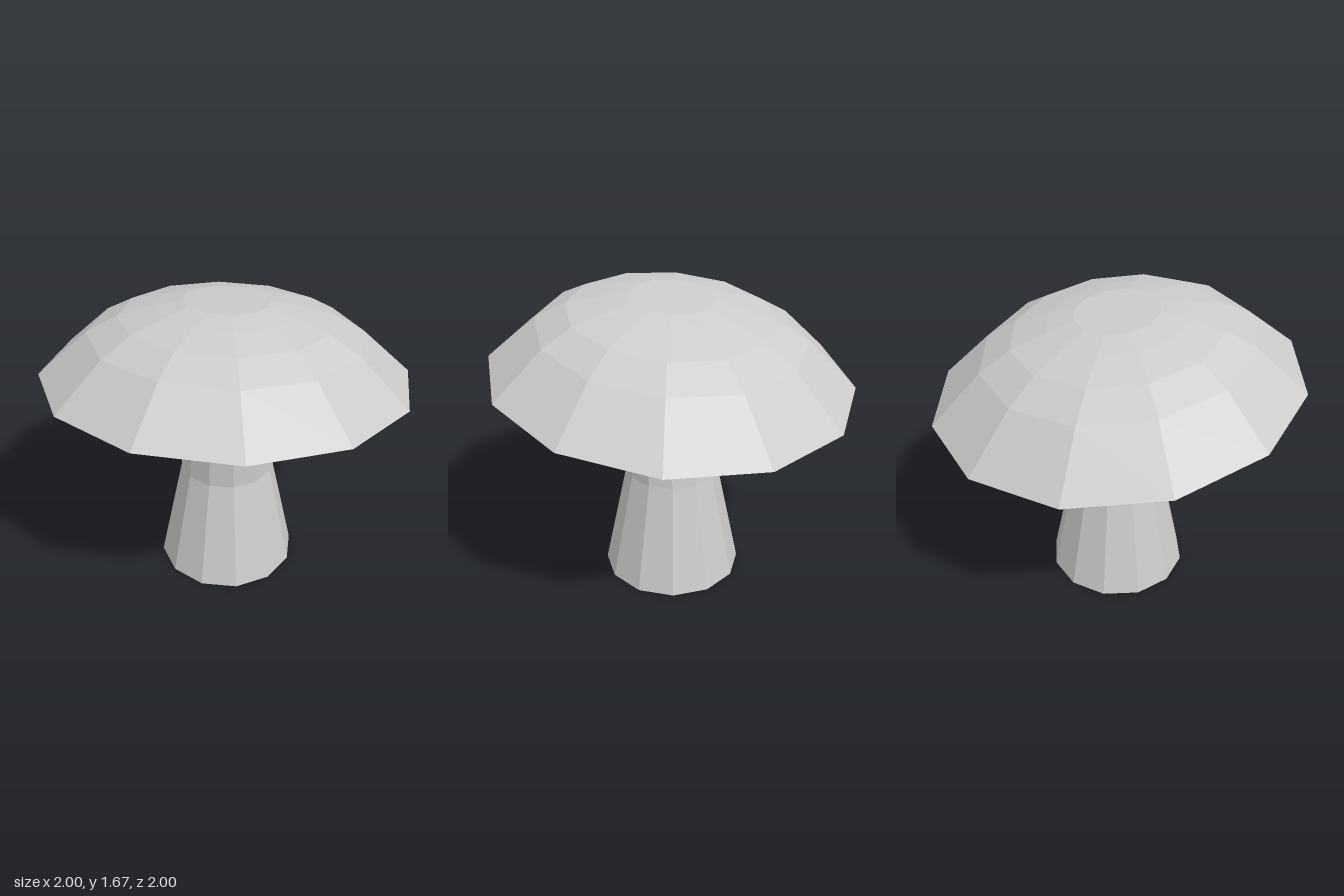
import * as THREE from 'three';

const SIDES = 12;
const material = new THREE.MeshStandardMaterial({ color: 0xcccccc, flatShading: true });

// Height added by the tilt of the cap
const tilt = (x, z) => -0.0425 * x + 0.107 * z;

// Faceted lathe from [radius, height] pairs (bottom to top), each vertex then moved by a rule
function lathe(name, profile, turn, rule) {
  const points = profile.map(([r, y]) => new THREE.Vector2(r, y));
  const geometry = new THREE.LatheGeometry(points, SIDES);
  geometry.rotateY(turn);
  const pos = geometry.attributes.position;
  const v = new THREE.Vector3();
  for (let i = 0; i < pos.count; i++) {
    v.fromBufferAttribute(pos, i);
    rule(v);
    pos.setXYZ(i, v.x, v.y, v.z);
  }
  geometry.computeVertexNormals();
  const mesh = new THREE.Mesh(geometry, material);
  mesh.name = name;
  return mesh;
}

export function createModel() {
  const group = new THREE.Group();
  group.name = 'mushroom';

  // Stem: wide foot, narrow neck pushed forward, flared top that follows the cap's tilt
  group.add(lathe('stem',
    [[0, 0], [0.394, 0], [0.262, 0.63], [0.239, 1.01], [0.31, 1.195]], 0,
    (v) => {
      if (v.y > 1.1) v.y += tilt(v.x, v.z);
      else if (v.y > 0.9) v.z += 0.037;
    }));

  // Cap: closed underside, domed rings and a flat crown, all sheared by the tilt
  group.add(lathe('cap',
    [[0, 1.195], [0.31, 1.195], [1, 1.218], [0.73, 1.463], [0.565, 1.555],
      [0.375, 1.61], [0.23, 1.642], [0, 1.642]], -0.058,
    (v) => { v.y += tilt(v.x, v.z); }));

  return group;
}
